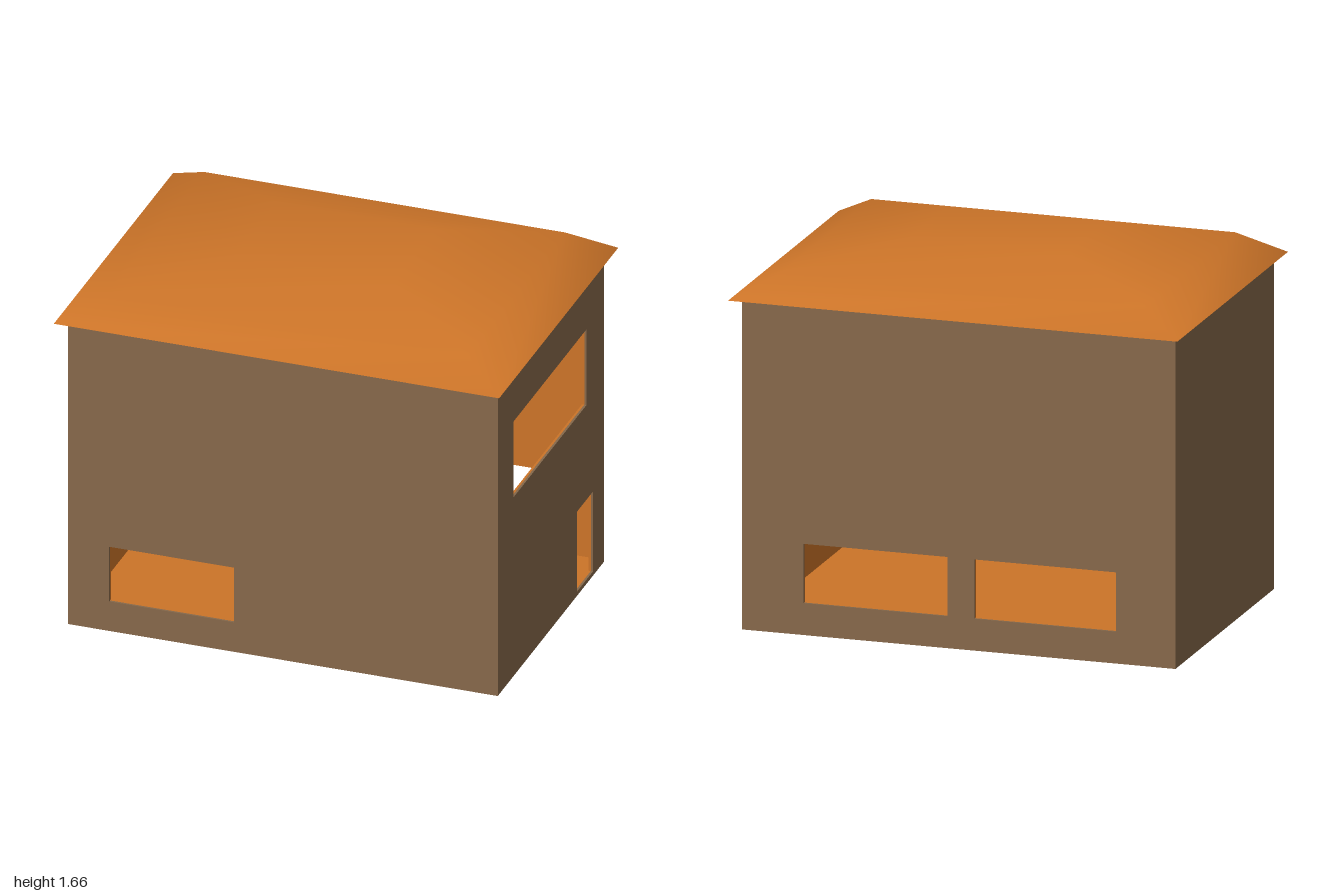
import * as THREE from 'three';

const brown = new THREE.MeshStandardMaterial({ color: 0x86684a });
const orange = new THREE.MeshStandardMaterial({ color: 0xcc7428 });
const slate = new THREE.MeshStandardMaterial({ color: 0x2c3138 });

const HX = 0.965, HZ = 0.655, H = 1.46, SKIN = 0.01;

function addMesh(parent, name, geometry, material) {
  const mesh = new THREE.Mesh(geometry, material);
  mesh.name = name;
  parent.add(mesh);
  return mesh;
}

// Rectangular panel with rectangular openings [x0, x1, y0, y1]
function panel(halfWidth, y0, y1, openings) {
  const rect = (Type, [a, b, c, d]) => new Type([
    new THREE.Vector2(a, c), new THREE.Vector2(b, c),
    new THREE.Vector2(b, d), new THREE.Vector2(a, d),
  ]);
  const shape = rect(THREE.Shape, [-halfWidth, halfWidth, y0, y1]);
  for (const o of openings) shape.holes.push(rect(THREE.Path, o));
  return new THREE.ExtrudeGeometry(shape, { depth: SKIN, bevelEnabled: false });
}

// Wall with a brown outer skin and an orange inner lining, outside facing local +z
function wall(name, halfWidth, openings, angle, distance) {
  const group = new THREE.Group();
  group.name = name;
  addMesh(group, name + 'Outside', panel(halfWidth, 0, H, openings), brown)
    .position.z = distance - SKIN;
  addMesh(group, name + 'Lining', panel(halfWidth - SKIN, SKIN, H, openings), orange)
    .position.z = distance - 2 * SKIN;
  group.rotation.y = angle;
  return group;
}

// Hipped roof shell from rectangular rings [halfX, y, halfZ], closed by a flat top
function roofGeometry(rings) {
  const positions = [], index = [];
  for (const [x, y, z] of rings) positions.push(x, y, z, x, y, -z, -x, y, -z, -x, y, z);
  for (let r = 0; r < rings.length - 1; r++) {
    for (let i = 0; i < 4; i++) {
      const a = r * 4 + i, b = r * 4 + (i + 1) % 4;
      index.push(a, b, b + 4, a, b + 4, a + 4);
    }
  }
  const t = (rings.length - 1) * 4;
  index.push(t, t + 1, t + 2, t, t + 2, t + 3);
  const g = new THREE.BufferGeometry();
  g.setAttribute('position', new THREE.Float32BufferAttribute(positions, 3));
  g.setIndex(index);
  g.computeVertexNormals();
  return g;
}

export function createModel() {
  const model = new THREE.Group();
  model.name = 'house';

  // Walls: openings are given in each wall's own x, seen from outside
  model.add(
    wall('frontWall', HX, [[-0.78, -0.22, 0.14, 0.4]], 0, HZ),
    wall('backWall', HX, [[-0.69, -0.05, 0.14, 0.4], [0.07, 0.7, 0.14, 0.4]], Math.PI, HZ),
    wall('leftWall', HZ - SKIN, [[-0.46, 0.44, 0.85, 1.21], [0.32, 0.52, 0.02, 0.4]], Math.PI / 2, HX),
    wall('rightWall', HZ - SKIN, [], -Math.PI / 2, HX),
  );

  // Floor and ceiling
  const slab = (name, inset, y, material) => {
    const g = new THREE.BoxGeometry(2 * (HX - inset), SKIN, 2 * (HZ - inset));
    addMesh(model, name, g, material).position.y = y;
  };
  slab('base', SKIN, SKIN / 2, brown);
  slab('floor', SKIN * 2, SKIN * 1.5, orange);
  slab('ceiling', SKIN * 2, H - SKIN / 2, orange);

  // Roof with a dark underside
  addMesh(model, 'roof', roofGeometry([
    [1.0, H, 0.735], [0.81, 1.565, 0.6], [0.355, 1.665, 0.26],
  ]), orange);
  const eaves = addMesh(model, 'eavesUnderside', new THREE.PlaneGeometry(2, 1.47), slate);
  eaves.rotation.x = Math.PI / 2;
  eaves.position.y = H;

  return model;
}
